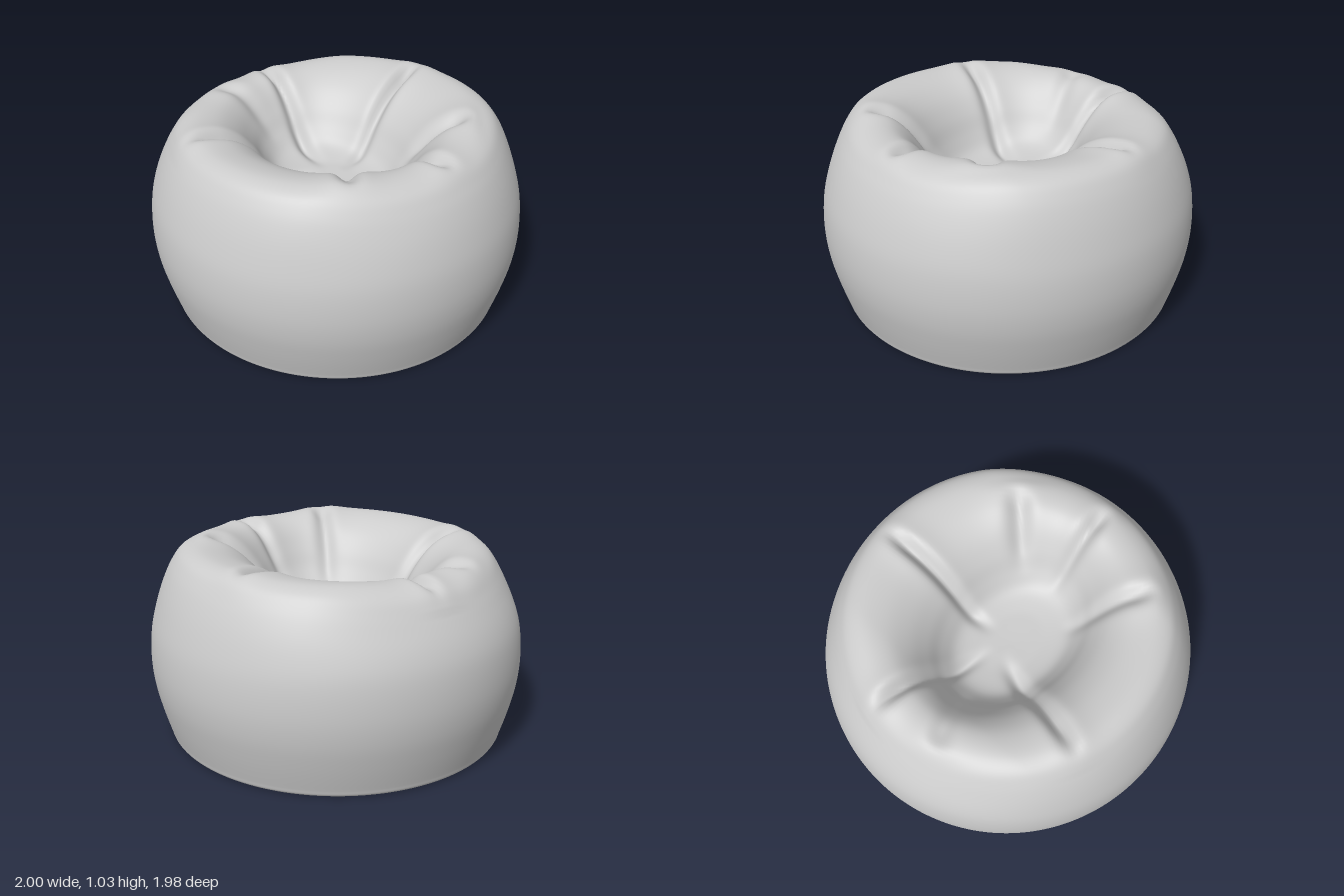
import * as THREE from 'three';
import { mergeVertices } from 'three/addons/utils/BufferGeometryUtils.js';

// Half-section [radius, height]: underside, bulging side, rim, sunken seat
const SECTION = [
  [0, 0.008], [0.3, 0.008], [0.6, 0.008], [0.675, 0.01], [0.692, 0.022], [0.7, 0.035], [0.708, 0.024],
  [0.722, 0.004], [0.8, 0], [0.895, 0], [0.915, 0.01], [0.925, 0.04], [0.962, 0.17], [0.99, 0.3],
  [1, 0.43], [0.988, 0.58], [0.955, 0.71], [0.91, 0.83], [0.862, 0.92], [0.81, 0.98], [0.73, 1.005],
  [0.62, 0.985], [0.53, 0.925], [0.45, 0.83], [0.385, 0.73], [0.31, 0.655], [0.2, 0.625], [0.1, 0.618], [0, 0.615],
];

// Folds gathered into the seat: outer x, z, inner x, z, depth, width
const FOLDS = [
  [-0.11, -0.78, -0.03, -0.12, 0.075, 0.038],
  [0.54, -0.45, 0.3, -0.19, 0.06, 0.055],
  [0.79, -0.02, 0.36, -0.01, 0.06, 0.042],
  [0.6, 0.47, 0.24, 0.2, 0.055, 0.045],
  [-0.3, 0.75, -0.11, 0.08, 0.068, 0.042],
  [-0.75, 0.23, -0.4, 0.08, 0.036, 0.055],
  [-0.83, -0.15, -0.15, -0.03, 0.072, 0.038],
];

const smooth = THREE.MathUtils.smoothstep;

// Height change at a point on top: a sharp valley between two soft shoulders
function foldHeight(x, z) {
  let h = 0;
  for (const [ax, az, bx, bz, depth, width] of FOLDS) {
    const dx = bx - ax, dz = bz - az;
    const t = ((x - ax) * dx + (z - az) * dz) / (dx * dx + dz * dz);
    const taper = smooth(t, -0.05, 0.3) * (1 - smooth(t, 0.6, 1.1));
    const d = Math.abs((x - ax) * dz - (z - az) * dx) / Math.hypot(dx, dz);
    h -= depth * taper * Math.exp(-((d / width) ** 2));
    const shoulder = smooth(t, -0.15, 0.1) * (1 - smooth(t, 0.3, 0.9));
    h += 0.02 * shoulder * Math.exp(-((d / (width * 2.8)) ** 2));
  }
  return h;
}

function cushionGeometry() {
  const curve = new THREE.CatmullRomCurve3(
    SECTION.map(([r, y]) => new THREE.Vector3(r, y, 0)), false, 'centripetal');
  const points = curve.getPoints(140).map((p) => new THREE.Vector2(Math.max(0, p.x), Math.max(0, p.y)));
  points[0].x = points[points.length - 1].x = 0;
  let geometry = new THREE.LatheGeometry(points, 240);
  const pos = geometry.attributes.position;
  for (let i = 0; i < pos.count; i++) {
    let x = pos.getX(i), y = pos.getY(i), z = pos.getZ(i);
    // Seat hollow is wider than deep and set slightly forward; the body is almost round
    const r = Math.hypot(x, z);
    const inner = y > 0.5 ? 1 - smooth(r, 0.35, 0.72) : 0;
    x *= 1 + 0.08 * inner;
    z = z * (0.99 - 0.18 * inner) + 0.03 * inner;
    // Rim slopes down to one side and drops at both ends
    y += (0.03 * x - 0.04 * smooth(Math.abs(x), 0.5, 0.85)) * smooth(y, 0.6, 0.95);
    // Folds are pressed into the top
    if (y > 0.5 && r < 0.87) y += foldHeight(x, z);
    pos.setXYZ(i, x, y, z);
  }
  // Weld the seam so the shading is continuous
  geometry.deleteAttribute('uv');
  geometry.deleteAttribute('normal');
  geometry = mergeVertices(geometry, 1e-4);
  geometry.computeVertexNormals();
  return geometry;
}

export function createModel() {
  const group = new THREE.Group();
  group.name = 'beanBagSeat';
  const cushion = new THREE.Mesh(cushionGeometry(), new THREE.MeshStandardMaterial({ color: 0xcccccc }));
  cushion.name = 'cushion';
  group.add(cushion);
  return group;
}
